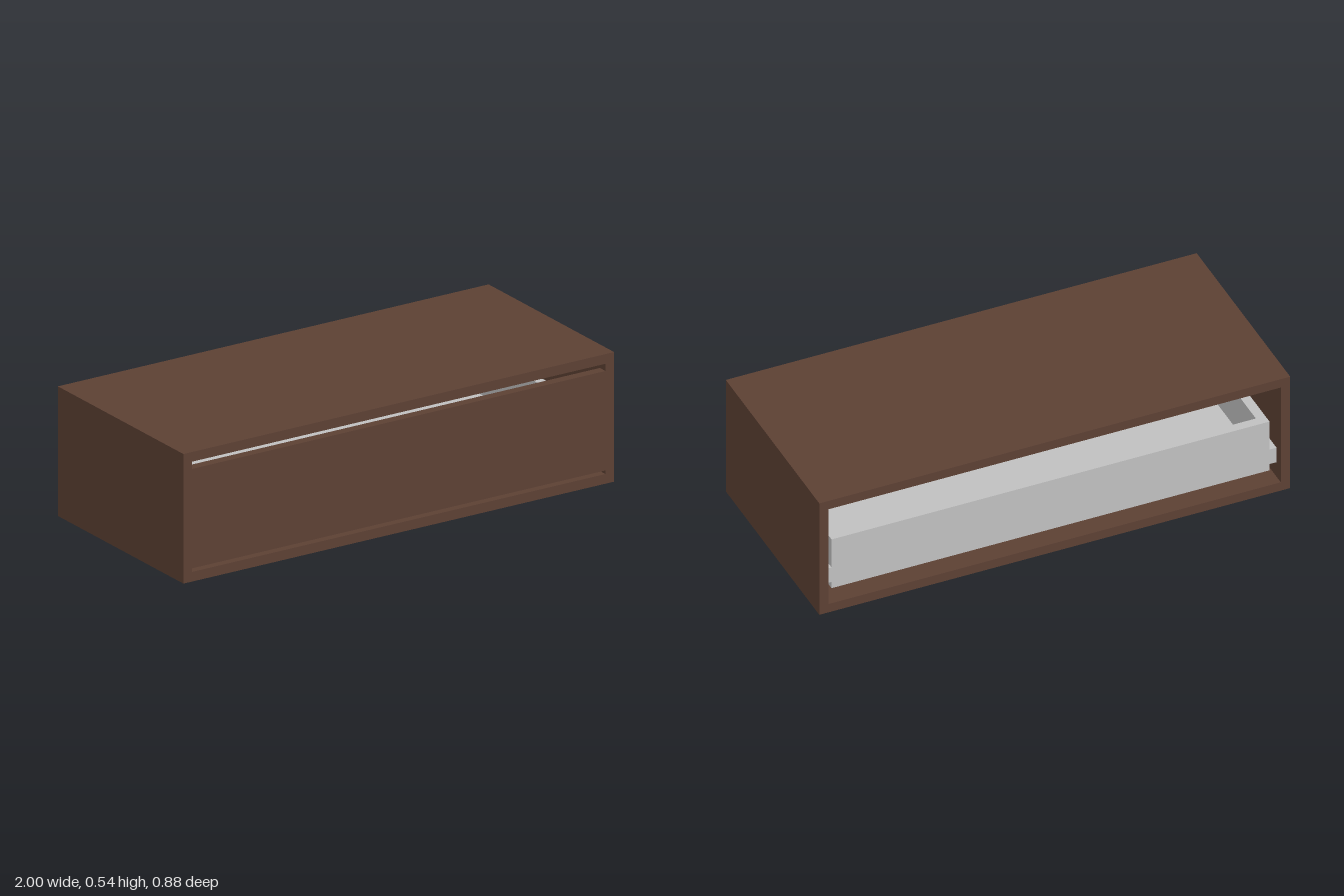
import * as THREE from 'three';

const wood = new THREE.MeshStandardMaterial({ color: 0x5c4033 });
wood.name = 'dark brown wood';
const metal = new THREE.MeshStandardMaterial({ color: 0xc0c0c0 });
metal.name = 'light grey';

const W = 1, H = 0.537, D = 0.44, T = 0.04; // half width, height, half depth, board thickness

// Box given by its minimum and maximum corners
function slab(name, material, [x0, y0, z0], [x1, y1, z1]) {
  const mesh = new THREE.Mesh(new THREE.BoxGeometry(x1 - x0, y1 - y0, z1 - z0), material);
  mesh.position.set((x0 + x1) / 2, (y0 + y1) / 2, (z0 + z1) / 2);
  mesh.name = name;
  return mesh;
}

function rectangle(PathType, x, y0, y1) {
  return new PathType([[-x, y0], [x, y0], [x, y1], [-x, y1]].map(p => new THREE.Vector2(...p)));
}

export function createModel() {
  const model = new THREE.Group();
  model.name = 'drawerCabinet';

  // Cabinet shell, open at front and back
  const outline = rectangle(THREE.Shape, W, 0, H);
  outline.holes.push(rectangle(THREE.Path, W - T, T, H - T));
  const shellGeometry = new THREE.ExtrudeGeometry(outline, { depth: 2 * D, bevelEnabled: false });
  shellGeometry.translate(0, 0, -D);
  const shell = new THREE.Mesh(shellGeometry, wood);
  shell.name = 'cabinetShell';
  model.add(shell);

  // Drawer front with slits above and below
  const drawer = new THREE.Group();
  drawer.name = 'drawer';
  drawer.add(slab('drawerFront', wood, [-W + T, 0.055, D - T], [W - T, 0.467, D]));

  // Drawer box: sides, back, inner front and raised floor
  const X = 0.93, B = 0.08, R = 0.315, Z = 0.40;
  for (const s of [-1, 1]) {
    const inner = s * (X - T), outer = s * X;
    drawer.add(slab(s > 0 ? 'leftSide' : 'rightSide', metal,
      [Math.min(inner, outer), B, -Z], [Math.max(inner, outer), R, Z]));
  }
  drawer.add(slab('drawerBack', metal, [-X + T, B, -Z], [X - T, R, -Z + T]));
  drawer.add(slab('innerFront', metal, [-X + T, B, Z - T], [X - T, R, Z]));
  drawer.add(slab('drawerFloor', metal, [-X + T, 0.10, -Z + T], [X - T, 0.14, Z - T]));
  model.add(drawer);

  // Slide rails between the drawer sides and the cabinet
  for (const s of [-1, 1]) {
    const a = s * X, b = s * (W - T);
    model.add(slab(s > 0 ? 'leftRail' : 'rightRail', metal,
      [Math.min(a, b), 0.11, -Z], [Math.max(a, b), 0.18, Z]));
  }
  return model;
}
